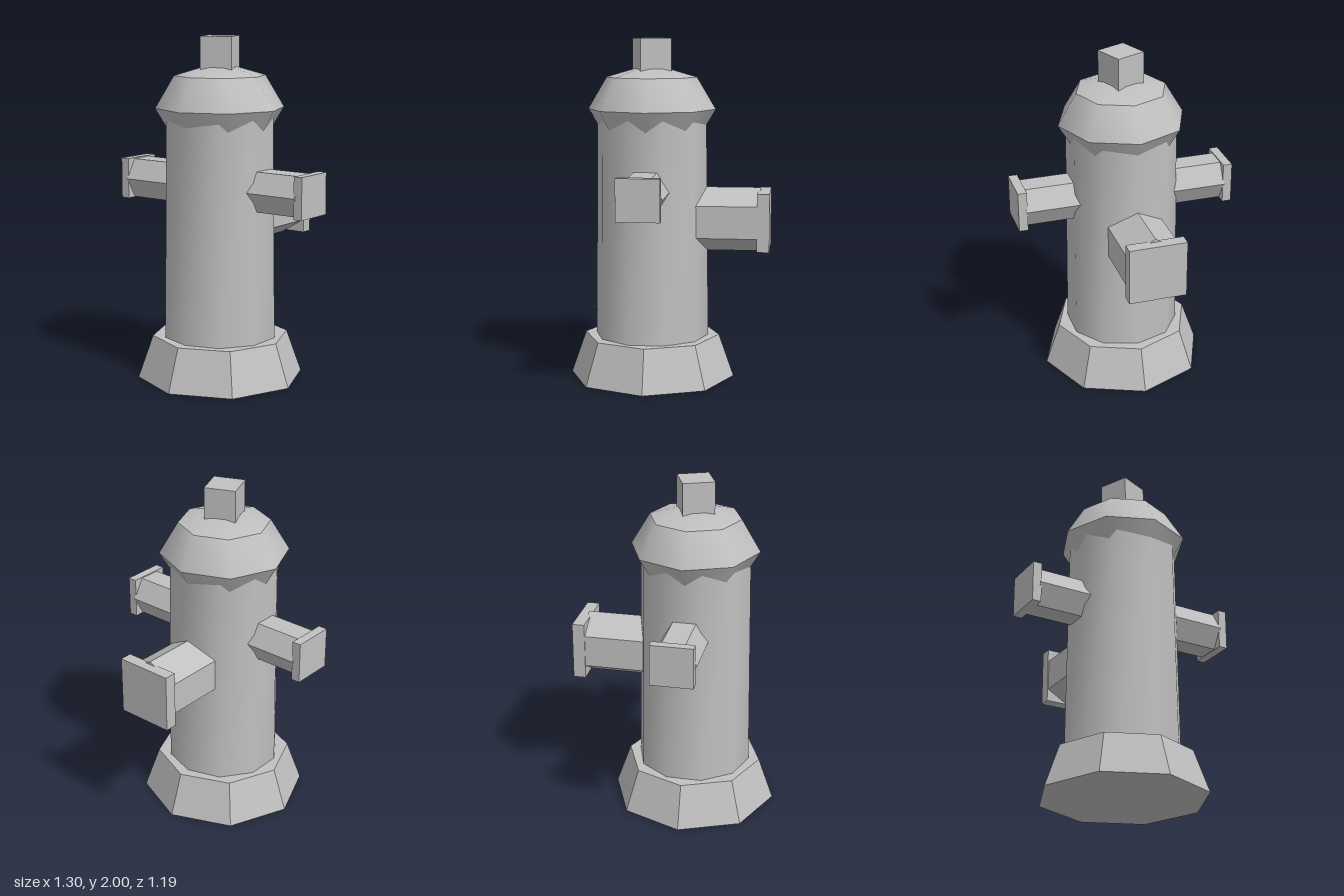
import * as THREE from 'three';
import { toCreasedNormals } from 'three/addons/utils/BufferGeometryUtils.js';

const CREASE = THREE.MathUtils.degToRad(40);

export function createModel() {
  const root = new THREE.Group();
  root.name = 'hydrant';
  const grey = new THREE.MeshStandardMaterial({ color: 0xc0c0c0 });
  grey.name = 'light grey';

  // everything is stacked around an upright axis set slightly forward
  const AXIS_Z = 0.102;

  function add(name, geometry, x, y, z) {
    const mesh = new THREE.Mesh(toCreasedNormals(geometry, CREASE), grey);
    mesh.name = name;
    mesh.position.set(x, y, z);
    root.add(mesh);
    return mesh;
  }

  // flared octagonal foot
  add('base', new THREE.CylinderGeometry(0.4, 0.488, 0.25, 8), 0, 0.125, AXIS_Z);

  // slightly tapered ten-sided barrel
  add('barrel', new THREE.CylinderGeometry(0.32, 0.336, 1.4, 10), 0, 0.9, AXIS_Z);

  // squashed faceted dome, with a ring of vertices turned to face the front
  const dome = new THREE.SphereGeometry(0.375, 8, 4);
  dome.scale(1, 0.7, 1);
  add('dome', dome, 0, 1.59, AXIS_Z);

  // square operating nut, turned on its axis
  const nut = add('topNut', new THREE.BoxGeometry(0.184, 0.3, 0.184), 0, 1.85, AXIS_Z);
  nut.rotation.y = Math.PI / 8;

  // mirrored side outlets with square end plates
  for (const [side, s] of [['left', 1], ['right', -1]]) {
    const pipe = new THREE.CylinderGeometry(0.133, 0.133, 0.4, 6);
    pipe.rotateZ(Math.PI / 2);
    add(side + 'Outlet', pipe, s * 0.405, 1.135, AXIS_Z);
    add(side + 'OutletPlate', new THREE.BoxGeometry(0.053, 0.24, 0.246), s * 0.6235, 1.137, AXIS_Z);
  }

  // larger rear outlet with a ridge on top
  const rear = new THREE.CylinderGeometry(0.188, 0.188, 0.44, 6);
  rear.rotateX(Math.PI / 2);
  add('rearOutlet', rear, 0, 0.948, -0.32);
  add('rearOutletPlate', new THREE.BoxGeometry(0.338, 0.338, 0.072), 0, 0.948, -0.56);

  return root;
}
